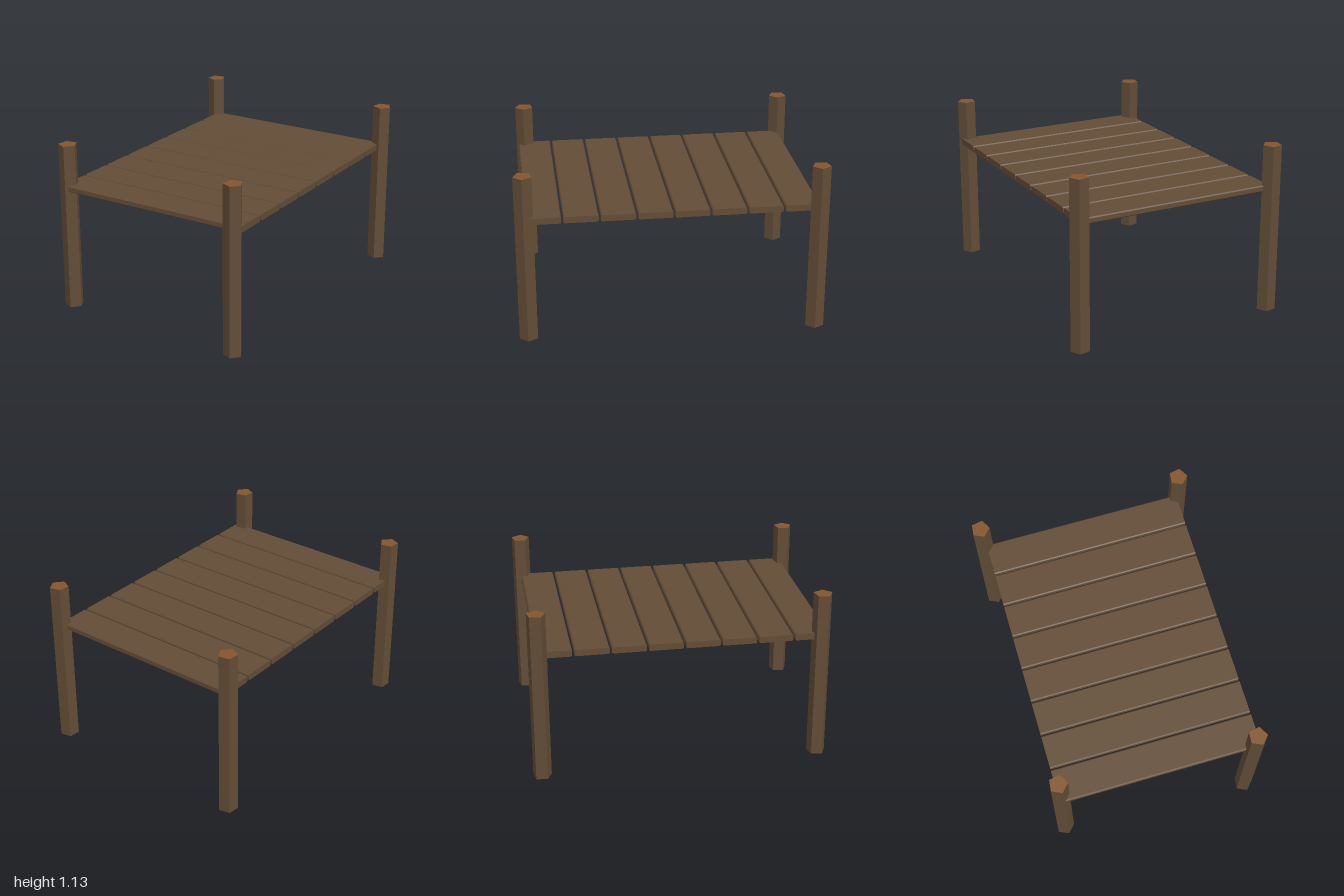
import * as THREE from 'three';

export function createModel() {
  const model = new THREE.Group();
  model.name = 'dock';

  const wood = new THREE.MeshStandardMaterial({ color: 0x624c36, flatShading: true, side: THREE.DoubleSide });
  wood.name = 'weathered wood';
  const cutWood = new THREE.MeshStandardMaterial({ color: 0x85552c, flatShading: true });
  cutWood.name = 'cut wood';

  // Five-sided posts, open at the foot, with a fresh-cut top
  const height = 1.13, radius = 0.0625, turn = 1.449;
  const shaftGeometry = new THREE.CylinderGeometry(radius, radius, height, 5, 1, true, turn);
  const capGeometry = new THREE.CircleGeometry(radius, 5, turn - Math.PI / 2).rotateX(-Math.PI / 2);
  const posts = {
    frontLeftPost: [0.625, 0.937],
    frontRightPost: [-0.66, 0.882],
    backLeftPost: [0.683, -0.941],
    backRightPost: [-0.69, -0.941],
  };
  for (const [name, [x, z]] of Object.entries(posts)) {
    const post = new THREE.Group();
    post.name = name;
    post.position.set(x, 0, z);
    const shaft = new THREE.Mesh(shaftGeometry, wood);
    shaft.name = 'shaft';
    shaft.position.y = height / 2;
    const cap = new THREE.Mesh(capGeometry, cutWood);
    cap.name = 'postTop';
    cap.position.y = height;
    post.add(shaft, cap);
    model.add(post);
  }

  // Planks with chamfered long edges, run along x
  const length = 1.35, w = 0.111, h = 0.021, c = 0.007;
  const section = new THREE.Shape([
    [-w + c, -h], [w - c, -h], [w, -h + c], [w, h - c],
    [w - c, h], [-w + c, h], [-w, h - c], [-w, -h + c],
  ].map(([x, y]) => new THREE.Vector2(x, y)));
  const plankGeometry = new THREE.ExtrudeGeometry(section, { depth: length, bevelEnabled: false });
  plankGeometry.translate(0, 0, -length / 2).rotateY(Math.PI / 2);
  for (let i = 0; i < 8; i++) {
    const plank = new THREE.Mesh(plankGeometry, wood);
    plank.name = `plank${i + 1}`;
    plank.position.set(0.002, 0.841, -0.833 + i * 0.236);
    model.add(plank);
  }

  return model;
}
